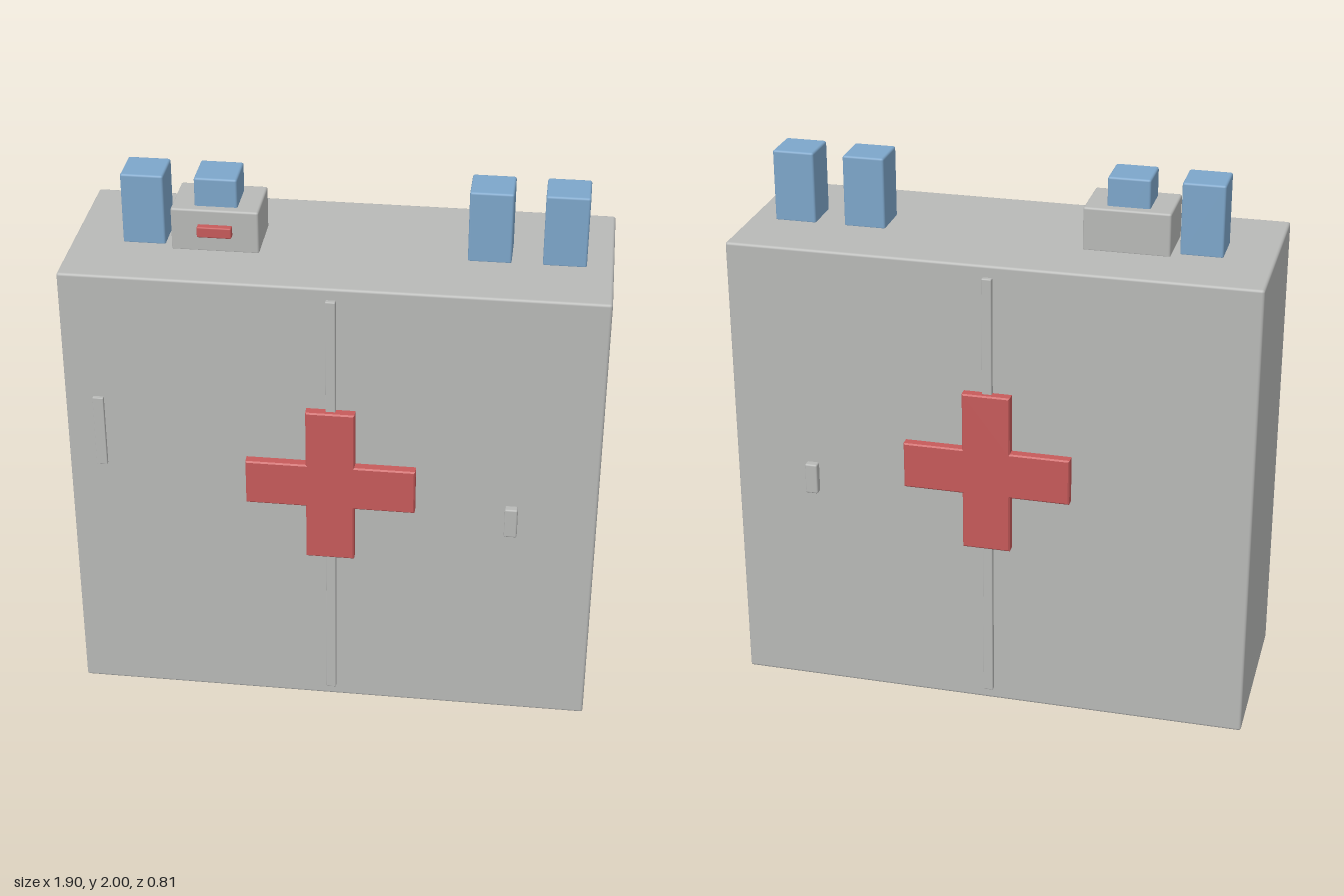
import * as THREE from 'three';
import { RoundedBoxGeometry } from 'three/addons/geometries/RoundedBoxGeometry.js';

function material(name, color) {
  const m = new THREE.MeshStandardMaterial({ color });
  m.name = name;
  return m;
}

export function createModel() {
  const grey = material('light grey', 0xb8b9b7);
  const red = material('soft red', 0xc65a5a);
  const blue = material('soft blue', 0x7da6ca);
  const model = new THREE.Group();
  model.name = 'medicineCabinet';

  // Softly rounded block given by its two extents on each axis
  function block(name, mat, [x0, x1], [y0, y1], [z0, z1], radius = 0.006) {
    const geometry = new RoundedBoxGeometry(x1 - x0, y1 - y0, z1 - z0, 2, radius);
    const mesh = new THREE.Mesh(geometry, mat);
    mesh.name = name;
    mesh.position.set((x0 + x1) / 2, (y0 + y1) / 2, (z0 + z1) / 2);
    model.add(mesh);
    return mesh;
  }

  // Cabinet
  block('cabinetBody', grey, [-0.952, 0.952], [0, 1.74], [-0.345, 0.345], 0.01);

  // Cross outline, shared by both faces
  const a = 0.087, b = 0.304, bevel = 0.005;
  const i = a - bevel, o = b - bevel;
  const cross = new THREE.Shape([
    [-i, -o], [i, -o], [i, -i], [o, -i], [o, i], [i, i],
    [i, o], [-i, o], [-i, i], [-o, i], [-o, -i], [-i, -i],
  ].map(([x, y]) => new THREE.Vector2(x, y)));
  const crossGeometry = new THREE.ExtrudeGeometry(cross, {
    depth: 0.031, bevelSize: bevel, bevelThickness: bevel, bevelSegments: 1,
  });

  // Door strip, cross and handle on the front and back
  for (const [side, s] of [['front', 1], ['back', -1]]) {
    const span = (n, f) => (s > 0 ? [n, f] : [-f, -n]);
    block(side + 'DoorStrip', grey, [-0.018, 0.018], [0.045, 1.697], span(0.335, 0.362), 0.004);
    block(side + 'Handle', grey, [0.626, 0.672], [0.815, 0.931], span(0.373, 0.405));
    const emblem = new THREE.Mesh(crossGeometry, red);
    emblem.name = side + 'Cross';
    emblem.position.set(0, 0.96, s * 0.345);
    emblem.rotation.y = s > 0 ? 0 : Math.PI;
    model.add(emblem);
  }

  // Slim plate on the front right door
  block('frontPlate', grey, [-0.846, -0.807], [0.993, 1.27], [0.362, 0.378], 0.003);

  // Bottles on the top
  for (const x of [-0.696, 0.522, 0.782]) {
    block('bottle', blue, [x - 0.076, x + 0.076], [1.735, 2], [-0.077, 0.077], 0.008);
  }

  // Small case with a bottle set in it and a red label
  block('case', grey, [-0.592, -0.282], [1.735, 1.895], [-0.111, 0.109], 0.008);
  block('caseBottle', blue, [-0.512, -0.36], [1.76, 2], [-0.077, 0.077], 0.008);
  block('caseLabel', red, [-0.497, -0.375], [1.8, 1.84], [0.1, 0.134], 0.005);

  return model;
}
